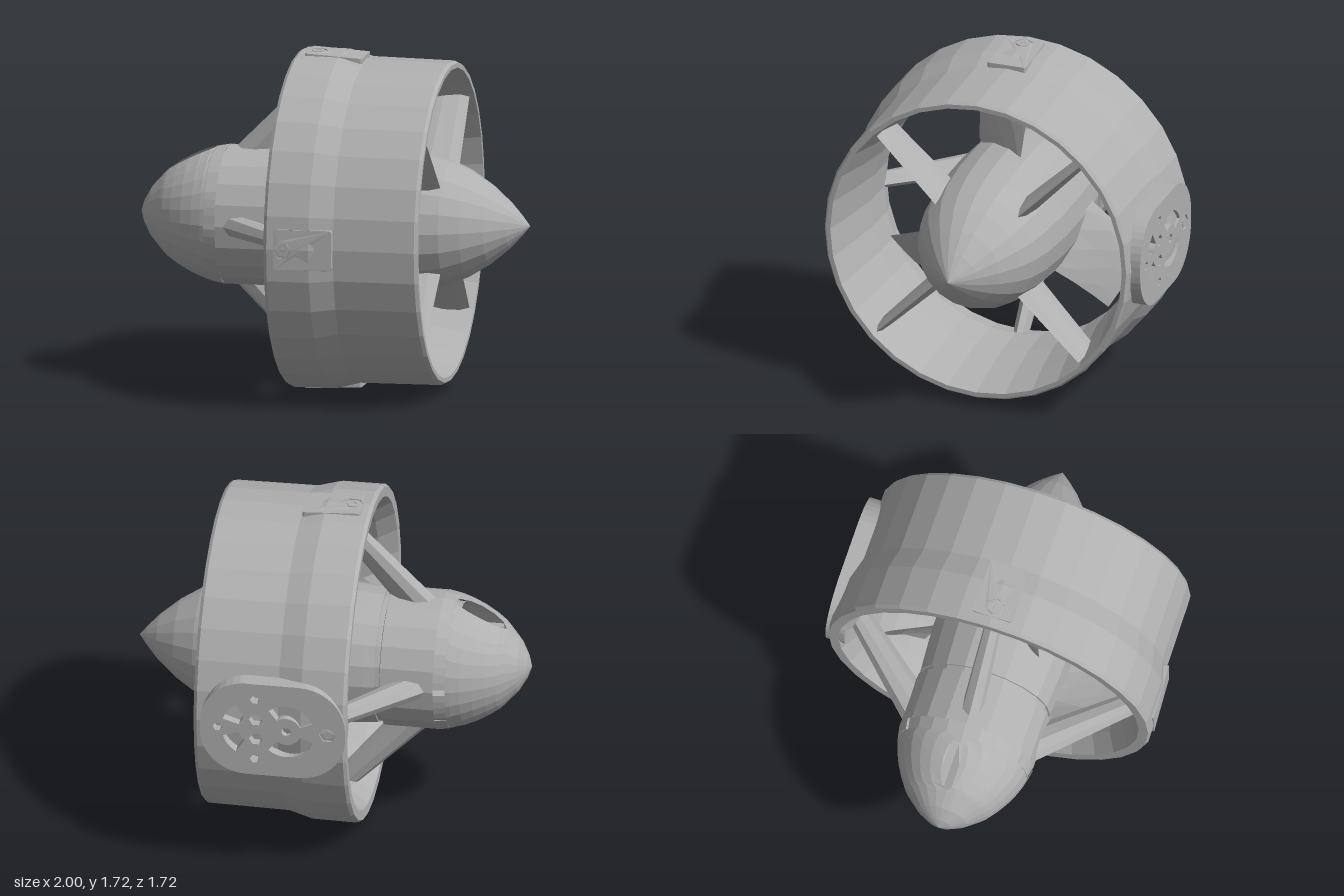
import * as THREE from 'three';

const metal = new THREE.MeshStandardMaterial({ color: 0xb0b0b0, flatShading: true, side: THREE.DoubleSide });
metal.name = 'grey metal';
const V = (x, y) => new THREE.Vector2(x, y);

function add(parent, name, geometry) {
  const m = new THREE.Mesh(geometry, metal);
  m.name = name;
  parent.add(m);
  return m;
}

// Lathe around the x axis; profile points are [x, radius]
function lathe(profile, sides, start = 0, sweep = Math.PI * 2) {
  return new THREE.LatheGeometry(profile.map(([x, r]) => V(r, x)), sides, start, sweep).rotateZ(-Math.PI / 2);
}

// Aerofoil section at radius y, from edge (ax, az) to edge (bx, bz)
function section(y, ax, az, bx, bz, thick) {
  const len = Math.hypot(bx - ax, bz - az), nx = -(bz - az) / len, nz = (bx - ax) / len;
  return [[0, 0], [0.15, 0.4], [0.45, 0.5], [0.8, 0.3], [1, 0], [0.8, -0.3], [0.45, -0.5], [0.15, -0.4]]
    .map(([t, s]) => [ax + (bx - ax) * t + nx * s * thick, y, az + (bz - az) * t + nz * s * thick]);
}

// Skin through sections, with end caps
function loft(sections) {
  const n = sections[0].length, index = [];
  for (let i = 0; i < sections.length - 1; i++) {
    for (let j = 0; j < n; j++) {
      const a = i * n + j, b = i * n + (j + 1) % n;
      index.push(a, b, a + n, b, b + n, a + n);
    }
  }
  const top = (sections.length - 1) * n;
  for (let j = 1; j < n - 1; j++) index.push(0, j + 1, j, top, top + j, top + j + 1);
  const g = new THREE.BufferGeometry();
  g.setAttribute('position', new THREE.Float32BufferAttribute(sections.flat(2), 3));
  g.setIndex(index);
  g.computeVertexNormals();
  return g;
}

// Copies of a radial part, turned around the x axis
function radial(parent, name, geometry, count, offset = 0) {
  for (let i = 0; i < count; i++) add(parent, name, geometry).rotation.x = offset + i * Math.PI * 2 / count;
}

function roundHole(x, y, r, sides) {
  const pts = [];
  for (let i = 0; i < sides; i++) {
    const a = i * Math.PI * 2 / sides;
    pts.push(V(x + r * Math.cos(a), y + r * Math.sin(a)));
  }
  return new THREE.Path(pts);
}

function arcHole(x, y, r0, r1, a0, a1) {
  const p = new THREE.Path();
  p.absarc(x, y, r1, a0, a1, false);
  p.absarc(x, y, r0, a1, a0, true);
  p.closePath();
  return p;
}

function roundedRect(x0, x1, h, r) {
  const s = new THREE.Shape();
  s.absarc(x1 - r, h - r, r, 0, Math.PI / 2);
  s.absarc(x0 + r, h - r, r, Math.PI / 2, Math.PI);
  s.absarc(x0 + r, r - h, r, Math.PI, Math.PI * 1.5);
  s.absarc(x1 - r, r - h, r, Math.PI * 1.5, Math.PI * 2);
  s.closePath();
  return s;
}

export function createModel() {
  const model = new THREE.Group();
  model.name = 'ducted thruster';
  const body = new THREE.Group();
  body.name = 'thruster body';
  body.position.y = 0.858;
  model.add(body);

  // Duct ring, outside then inside
  add(body, 'duct', lathe([
    [-0.19, 0.795], [-0.192, 0.845], [-0.175, 0.857], [0.04, 0.855], [0.16, 0.822], [0.575, 0.817], [0.592, 0.805],
    [0.592, 0.782], [0.4, 0.74], [0.2, 0.708], [0.02, 0.703], [-0.1, 0.735], [-0.19, 0.795]], 32));

  // Hub and pointed tail cone
  add(body, 'hub and cone', lathe([
    [-0.25, 0.0], [-0.25, 0.345], [-0.19, 0.35], [0.0, 0.362], [0.25, 0.362], [0.45, 0.345], [0.59, 0.315],
    [0.69, 0.27], [0.8, 0.2], [0.9, 0.115], [0.96, 0.05], [1.0, 0.0]], 20));
  add(body, 'hub groove', lathe([[-0.3, 0.335], [-0.2, 0.335]], 20));

  // Motor dome in two halves, parted by an oval slot above and below
  const nose = [[-1, 0.0], [-0.98, 0.06], [-0.94, 0.13], [-0.87, 0.208], [-0.85, 0.227], [-0.8, 0.262], [-0.74, 0.296],
    [-0.68, 0.322], [-0.63, 0.338], [-0.61, 0.343]];
  const half = new THREE.LatheGeometry(nose.map(([x, r]) => V(r, x)), 12, -Math.PI / 2, Math.PI);
  const p = half.attributes.position;
  for (let i = 0; i < p.count; i++) {
    const r = Math.hypot(p.getX(i), p.getZ(i)), u = (p.getY(i) + 0.74) / 0.13;
    if (r < 0.01 || Math.abs(u) >= 1) continue;
    const gap = Math.asin(0.06 * Math.sqrt(1 - u * u) / r);
    const a = Math.atan2(p.getX(i), p.getZ(i)) * (1 - gap / (Math.PI / 2));
    p.setXY(i, r * Math.sin(a), p.getY(i));
    p.setZ(i, r * Math.cos(a));
  }
  half.rotateZ(-Math.PI / 2);
  radial(body, 'dome half', half, 2);
  // Walls inside the oval slot
  for (const s of [-1, 1]) {
    add(body, 'slot wall', new THREE.BoxGeometry(0.24, 0.4, 0.042)).position.set(-0.73, 0, s * 0.04);
  }

  // Ring pierced by narrow cooling slots, with a liner behind the outer ones
  for (const [a, b] of [[-Math.PI / 2, -0.575], [-0.505, -0.045], [0.045, 0.505], [0.575, Math.PI / 2]]) {
    radial(body, 'vent ring', lathe([[-0.61, 0.343], [-0.55, 0.354]], 4, a, b - a), 2);
  }
  for (const a of [-Math.PI / 2, 0.2]) {
    radial(body, 'vent liner', lathe([[-0.64, 0.3], [-0.52, 0.31]], 6, a, Math.PI / 2 - 0.2), 2);
  }
  add(body, 'motor sleeve', lathe([[-0.55, 0.354], [-0.28, 0.354], [-0.275, 0.335], [-0.275, 0]], 20));

  // Swept struts carrying the motor
  const strut = loft([0.33, 0.5, 0.76].map((r) =>
    section(r, r - 0.86, 0, -0.27 + 0.8 * (r - 0.36), 0, 0.11 - 0.07 * (r - 0.33))));
  radial(body, 'motor strut', strut, 4);

  // Straight guide vanes behind the rotor
  const vane = loft([section(0.28, 0.31, 0, 0.585, 0, 0.085), section(0.765, 0.345, 0, 0.57, 0, 0.055)]);
  radial(body, 'guide vane', vane, 4, Math.PI / 4);

  // Twisted rotor blades
  const blade = loft([
    section(0.3, -0.08, 0.23, 0.18, -0.08, 0.035),
    section(0.46, -0.06, 0.22, 0.14, -0.09, 0.028),
    section(0.58, -0.04, 0.17, 0.11, -0.105, 0.022),
    section(0.675, -0.02, 0.1, 0.09, -0.12, 0.016)]);
  radial(body, 'rotor blade', blade, 3);

  // Bolted pads on the top, bottom and +z sides
  for (const turn of [-Math.PI / 2, Math.PI / 2, 0]) {
    const g = new THREE.Group();
    g.name = 'bolt pad';
    g.rotation.x = turn;
    body.add(g);
    const shape = roundedRect(-0.14, 0.155, 0.103, 0.012);
    shape.holes.push(roundHole(-0.09, 0, 0.05, 6));
    const pad = new THREE.ExtrudeGeometry(shape, { depth: 0.06, bevelEnabled: false, curveSegments: 2 });
    // Slope the rear end of the pad down towards the duct
    const q = pad.attributes.position;
    for (let i = 0; i < q.count; i++) if (q.getZ(i) > 0.05 && q.getX(i) > 0.1) q.setZ(i, 0.044);
    add(g, 'pad plate', pad).position.z = 0.798;
    const nut = new THREE.Shape(roundHole(0, 0, 0.036, 6).getPoints());
    nut.holes.push(roundHole(0, 0, 0.018, 4));
    add(g, 'hex bolt', new THREE.ExtrudeGeometry(nut, { depth: 0.02, bevelEnabled: false })).position.set(-0.09, 0, 0.838);
  }

  // Large mounting plate with pockets on the -z side
  const plate = roundedRect(-0.19, 0.55, 0.26, 0.235);
  plate.holes.push(
    roundHole(0.11, 0, 0.025, 8),
    arcHole(0.11, 0, 0.075, 0.145, 0.9, 2.75),
    arcHole(0.11, 0, 0.075, 0.145, 3.5, 5.4),
    roundHole(-0.1, 0, 0.042, 6),
    roundHole(0.27, 0.17, 0.024, 6),
    roundHole(0.27, -0.17, 0.024, 6),
    roundHole(0.46, 0, 0.024, 6),
    arcHole(0.28, 0, 0.075, 0.16, 0.3, 1.0),
    arcHole(0.28, 0, 0.075, 0.16, -1.0, -0.3),
    roundHole(0.265, 0.055, 0.034, 6),
    roundHole(0.265, -0.055, 0.034, 6));
  add(body, 'mounting plate', new THREE.ExtrudeGeometry(plate, { depth: 0.1, bevelEnabled: false, curveSegments: 5 }))
    .position.z = -0.864;
  add(body, 'plate bolt', new THREE.CylinderGeometry(0.024, 0.024, 0.03, 6).rotateX(Math.PI / 2)).position.set(-0.1, 0, -0.845);

  return model;
}
